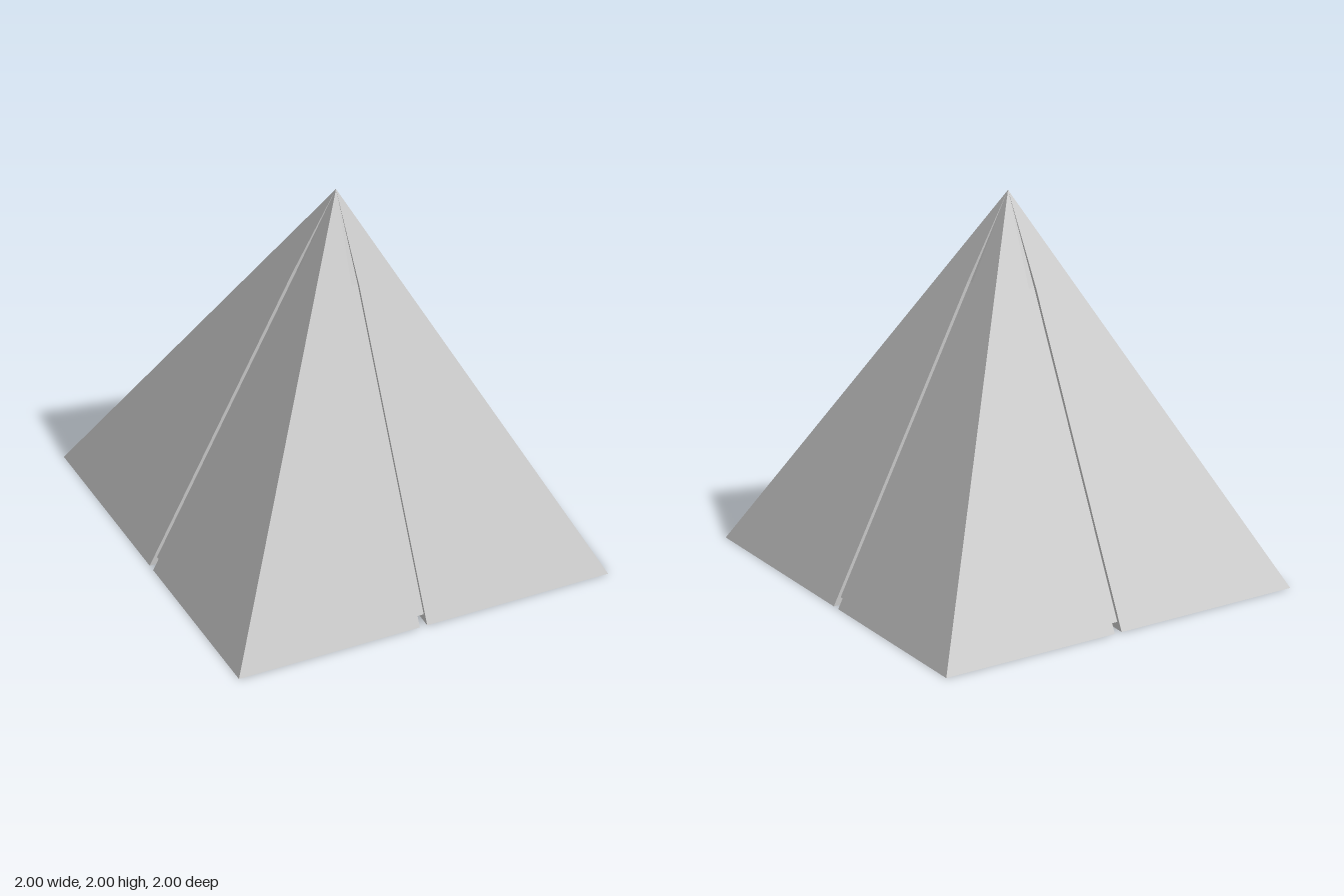
import * as THREE from 'three';

const material = new THREE.MeshStandardMaterial({ color: 0xcccccc, flatShading: true });
const GROOVE = 0.02;      // half width and horizontal depth of the grooves
const NOTCH = 0.04;       // height of the channels under the base
const half = (y) => 1 - y / 2;

// Skin a stack of closed rings (counterclockwise from above)
function loft(rings, capBottom = false) {
  const pos = [];
  const tri = (...points) => points.forEach((p) => pos.push(...p));
  for (let k = 0; k < rings.length - 1; k++) {
    const lo = rings[k], hi = rings[k + 1];
    for (let i = 0; i < lo.length; i++) {
      const j = (i + 1) % lo.length;
      tri(lo[i], lo[j], hi[i]);
      if (hi[i].some((v, n) => v !== hi[j][n])) tri(lo[j], hi[j], hi[i]);
    }
  }
  if (capBottom) {
    const r = rings[0];
    for (let i = 1; i < r.length - 1; i++) tri(r[0], r[i + 1], r[i]);
  }
  const geo = new THREE.BufferGeometry();
  geo.setAttribute('position', new THREE.Float32BufferAttribute(pos, 3));
  geo.computeVertexNormals();
  return geo;
}

// Square section with a groove in the middle of each side
function groovedRing(y, g) {
  const s = half(y), ring = [];
  let side = [[s, s], [s, g], [s - g, g], [s - g, -g], [s, -g]];
  for (let k = 0; k < 4; k++) {
    side.forEach(([x, z]) => ring.push([x, y, z]));
    side = side.map(([x, z]) => [z, -x]);
  }
  return ring;
}

// Corner quarter of the base section
function cornerRing(y) {
  const s = half(y), g = GROOVE;
  return [[s, y, -g], [s, y, -s], [g, y, -s], [g, y, -g]];
}

export function createModel() {
  const group = new THREE.Group();
  const add = (name, geo) => {
    const mesh = new THREE.Mesh(geo, material);
    mesh.name = name;
    group.add(mesh);
    return mesh;
  };

  // Pyramid body, grooves narrowing to nothing at the tip
  add('pyramidBody', loft([
    groovedRing(NOTCH, GROOVE),
    groovedRing(1.55, GROOVE),
    groovedRing(2, 0),
  ]));

  // Four base blocks separated by crossing channels
  const block = loft([cornerRing(0), cornerRing(NOTCH)], true);
  for (let k = 0; k < 4; k++) add('baseBlock' + (k + 1), block).rotation.y = k * Math.PI / 2;

  // Cross-shaped ceiling of the channels, facing down
  const g = GROOVE, r = half(NOTCH) - g, points = [];
  let arm = [[r, -g], [r, g], [g, g]];
  for (let k = 0; k < 4; k++) {
    arm.forEach(([x, z]) => points.push(new THREE.Vector2(x, z)));
    arm = arm.map(([x, z]) => [-z, x]);
  }
  const ceiling = new THREE.ShapeGeometry(new THREE.Shape(points));
  ceiling.rotateX(Math.PI / 2).translate(0, NOTCH, 0);
  add('channelCeiling', ceiling);

  return group;
}
